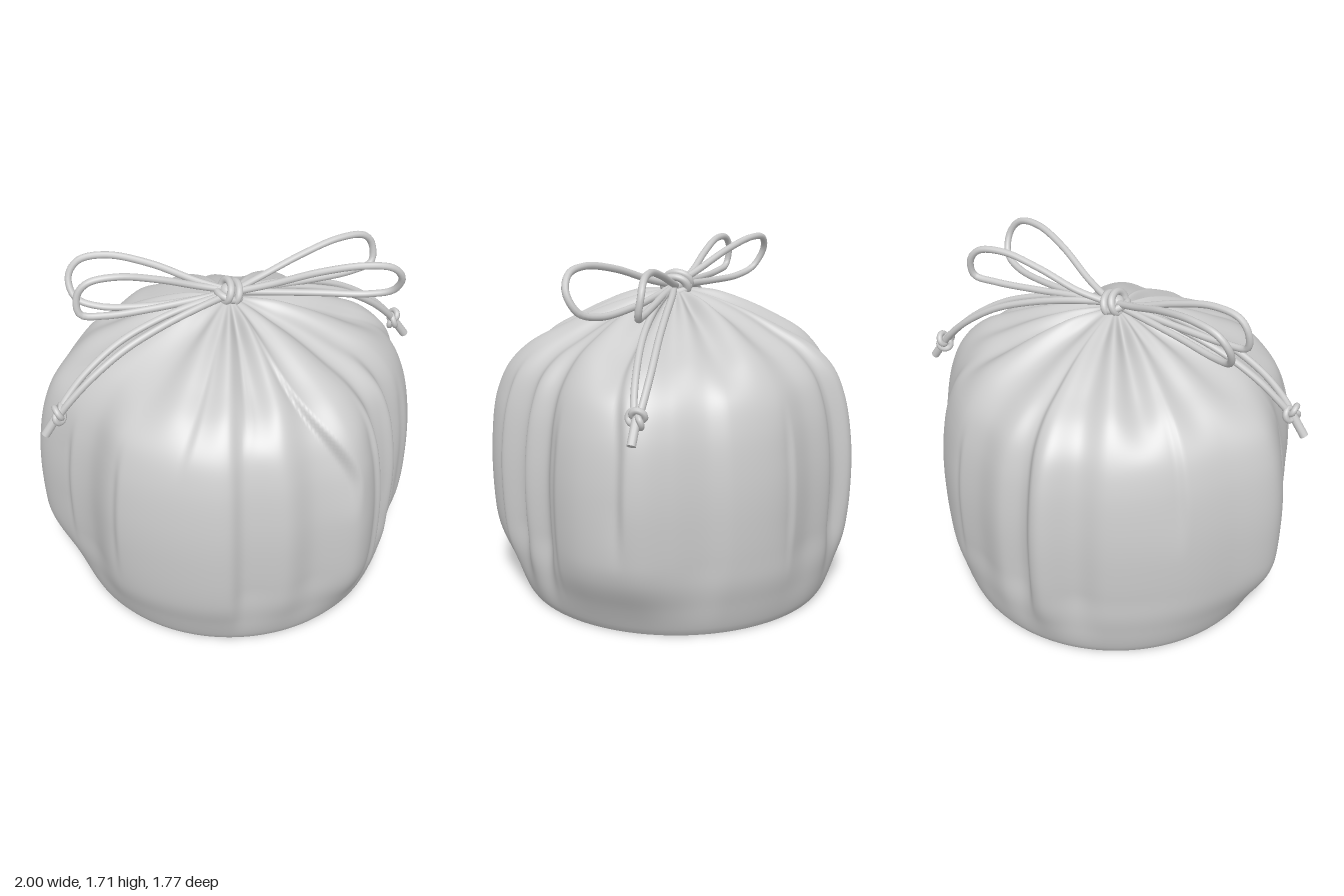
import * as THREE from 'three';

const material = new THREE.MeshStandardMaterial({ color: 0xcccccc, side: THREE.DoubleSide });
const CX = -0.03; // the gather sits slightly off centre
const CORD = 0.017;
const COLUMNS = 480;
const { smoothstep, lerp, degToRad } = THREE.MathUtils;

// widest cross-section of the cloth (x, z), running from +x towards +z
const outline = [
  [0.92, 0], [0.88, 0.2], [0.77, 0.36], [0.66, 0.42], [0.635, 0.54], [0.51, 0.6], [0.47, 0.74], [0.32, 0.865],
  [0.1, 0.84], [-0.05, 0.875], [-0.24, 0.82], [-0.33, 0.84], [-0.55, 0.73], [-0.78, 0.49], [-0.83, 0.25],
  [-0.92, 0.08], [-0.98, -0.14], [-0.85, -0.36], [-0.7, -0.55], [-0.4, -0.765], [-0.25, -0.79], [-0.1, -0.885],
  [0.04, -0.825], [0.15, -0.83], [0.3, -0.76], [0.5, -0.69], [0.69, -0.5], [0.74, -0.39], [0.84, -0.25], [0.91, -0.12],
];
// scale of the cross-section against height
const profile = [
  [0.85, 0], [0.865, 0.02], [0.92, 0.15], [0.975, 0.3], [1, 0.58], [0.99, 0.8], [0.95, 1.0], [0.885, 1.14],
  [0.77, 1.25], [0.6, 1.335], [0.42, 1.41], [0.24, 1.465], [0.12, 1.49], [0.04, 1.5],
];
// folds: angle in degrees (front is 90), depth, width, lowest and highest point, lean towards the top
const creases = [
  [57, 0.025, 0.09, 0.02, 1.25, 0], [69, 0.045, 0.12, 0.7, 1.5, 14], [41, 0.015, 0.08, 0.3, 1.2, 0],
  [22, 0.015, 0.1, 0.1, 1.1, 0], [146, 0.018, 0.1, 0.3, 1.15, 0], [172, 0.02, 0.1, 0.25, 1.1, 0],
  [-2, 0.03, 0.12, 0.35, 1.5, 4], [-56, 0.015, 0.1, 0.2, 1.1, 0], [-90, 0.03, 0.14, 0.15, 1.52, 2],
  [106, 0.04, 0.14, 1.1, 1.5, -6], [125, 0.02, 0.12, 1.0, 1.5, -5], [-140, 0.015, 0.13, 0.6, 1.45, 0],
];

function creaseOffset(theta, y) {
  let sum = 0;
  for (const [deg, depth, width, low, high, lean] of creases) {
    const at = degToRad(deg + lean * smoothstep(y, 0.9, 1.45));
    const d = Math.atan2(Math.sin(theta - at), Math.cos(theta - at));
    const reach = smoothstep(y, low, low + 0.35) * (1 - smoothstep(y, high - 0.25, high + 0.02));
    sum += depth * reach * Math.exp(-Math.abs(d) / width) * lerp(0.3, -1, smoothstep(d, -0.035, 0.035));
  }
  return sum;
}

// pleats that fan out from the gathered neck
function pleat(theta) {
  const t = theta + 0.12 * Math.sin(3 * theta + 1);
  return 0.6 * Math.cos(13 * t) + 0.4 * Math.cos(8 * t + 2);
}

function addMesh(parent, name, geometry) {
  const mesh = new THREE.Mesh(geometry, material);
  mesh.name = name;
  parent.add(mesh);
  return mesh;
}

function clothGeometry() {
  const ring = new THREE.CatmullRomCurve3(outline.map(([x, z]) => new THREE.Vector3(x - CX, 0, z)), true)
    .getSpacedPoints(COLUMNS).slice(0, COLUMNS);
  const rows = new THREE.CatmullRomCurve3(profile.map(([s, y]) => new THREE.Vector3(s, y, 0))).getSpacedPoints(90);
  const positions = [], indices = [];
  rows.forEach(({ x: s, y }, i) => {
    for (let j = 0; j < COLUMNS; j++) {
      const theta = Math.atan2(ring[j].z, ring[j].x);
      const folded = Math.hypot(ring[j].x, ring[j].z);
      // round at the base, fully folded from the lower wall upwards
      const r = lerp(0.9, folded, smoothstep(y, 0, 0.4));
      const crease = creaseOffset(theta, y);
      const radius = s * (r + crease);
      const fan = smoothstep(y, 1.1, 1.36) * smoothstep(s, 0.03, 0.3);
      const lift = fan * (0.03 * pleat(theta) - 0.006 + 0.4 * crease);
      positions.push(CX + radius * Math.cos(theta), y + lift, radius * Math.sin(theta));
      if (i < rows.length - 1) {
        const k = (j + 1) % COLUMNS;
        const a = i * COLUMNS + j, b = i * COLUMNS + k;
        indices.push(a, a + COLUMNS, b, b, a + COLUMNS, b + COLUMNS);
      }
    }
  });
  const geometry = new THREE.BufferGeometry();
  geometry.setAttribute('position', new THREE.Float32BufferAttribute(positions, 3));
  geometry.setIndex(indices);
  geometry.computeVertexNormals();
  return geometry;
}

function cord(parent, name, points) {
  const curve = new THREE.CatmullRomCurve3(points.map((p) => new THREE.Vector3(...p)));
  return addMesh(parent, name, new THREE.TubeGeometry(curve, 72, CORD, 10));
}

// bow and tails on one side; the upright loop leans to the back on both sides
function bowSide(name, lean) {
  const side = new THREE.Group();
  side.name = name;
  // loop swinging out from the bag's middle line
  cord(side, 'outerLoop', [
    [0, 1.52, 0], [0.16, 1.57, 0.07], [0.36, 1.65, 0.17], [0.55, 1.69, 0.25], [0.68, 1.67, 0.28],
    [0.735, 1.6, 0.27], [0.72, 1.51, 0.22], [0.62, 1.475, 0.16], [0.4, 1.48, 0.08], [0.18, 1.5, 0.03], [0, 1.52, 0],
  ]);
  // loop standing upright
  cord(side, 'innerLoop', [
    [0, 1.52, 0.01 * lean], [0.16, 1.56, 0.04 * lean], [0.36, 1.63, 0.05 * lean], [0.55, 1.675, 0.06 * lean],
    [0.69, 1.66, 0.075 * lean], [0.74, 1.6, 0.08 * lean], [0.735, 1.51, 0.065 * lean], [0.62, 1.49, 0.045 * lean],
    [0.4, 1.495, 0.025 * lean], [0.18, 1.51, 0.01 * lean], [0, 1.52, 0.01 * lean],
  ]);
  // paired hanging cords
  for (const s of [-1, 1]) {
    cord(side, 'tailCord', [
      [0, 1.52, 0], [0.18, 1.505, -0.03 + s * 0.018], [0.38, 1.46, -0.05 + s * 0.032], [0.58, 1.385, -0.072 + s * 0.038],
      [0.75, 1.275, -0.095 + s * 0.034], [0.86, 1.17, -0.108 + s * 0.022], [0.915, 1.1, -0.115 + s * 0.008],
    ]);
  }
  const tailKnot = addMesh(side, 'tailKnot', new THREE.TorusKnotGeometry(0.03, 0.015, 72, 8, 2, 3));
  tailKnot.position.set(0.91, 1.11, -0.115);
  tailKnot.rotation.set(0.4, 1.2, 0.5);
  const tip = addMesh(side, 'tailTip', new THREE.CylinderGeometry(0.021, 0.021, 0.13, 12));
  tip.position.set(0.946, 1.058, -0.115);
  tip.rotation.z = 0.6;
  return side;
}

export function createModel() {
  const model = new THREE.Group();
  model.name = 'drawstringPouch';

  const cloth = addMesh(model, 'clothBag', clothGeometry());

  // flat base closing the lowest ring of the cloth
  const edge = cloth.geometry.attributes.position;
  const rim = Array.from({ length: COLUMNS }, (_, j) => new THREE.Vector2(edge.getX(j), edge.getZ(j)));
  const base = addMesh(model, 'base', new THREE.ShapeGeometry(new THREE.Shape(rim)));
  base.rotation.x = Math.PI / 2;

  const bow = new THREE.Group();
  bow.name = 'bow';
  const left = bowSide('leftBow', -1);
  const right = bowSide('rightBow', 1);
  right.rotation.y = Math.PI;
  bow.add(left, right);

  // central knot: cords wrapped around the crossing
  const knot = new THREE.Group();
  knot.name = 'centreKnot';
  const core = addMesh(knot, 'knotCore', new THREE.SphereGeometry(0.045, 20, 14));
  core.scale.set(1.1, 0.9, 1);
  for (const x of [-0.022, 0.022]) {
    const wrap = addMesh(knot, 'knotWrap', new THREE.TorusGeometry(0.05, 0.018, 10, 32));
    wrap.rotation.y = Math.PI / 2;
    wrap.scale.x = 1.2;
    wrap.position.x = x;
  }
  const collar = addMesh(knot, 'knotCollar', new THREE.TorusGeometry(0.058, 0.018, 10, 32));
  collar.rotation.x = Math.PI / 2;
  collar.position.y = -0.015;
  knot.rotation.z = -0.4;
  knot.position.set(-0.025, 1.525, -0.005);
  bow.add(knot);
  model.add(bow);
  return model;
}
